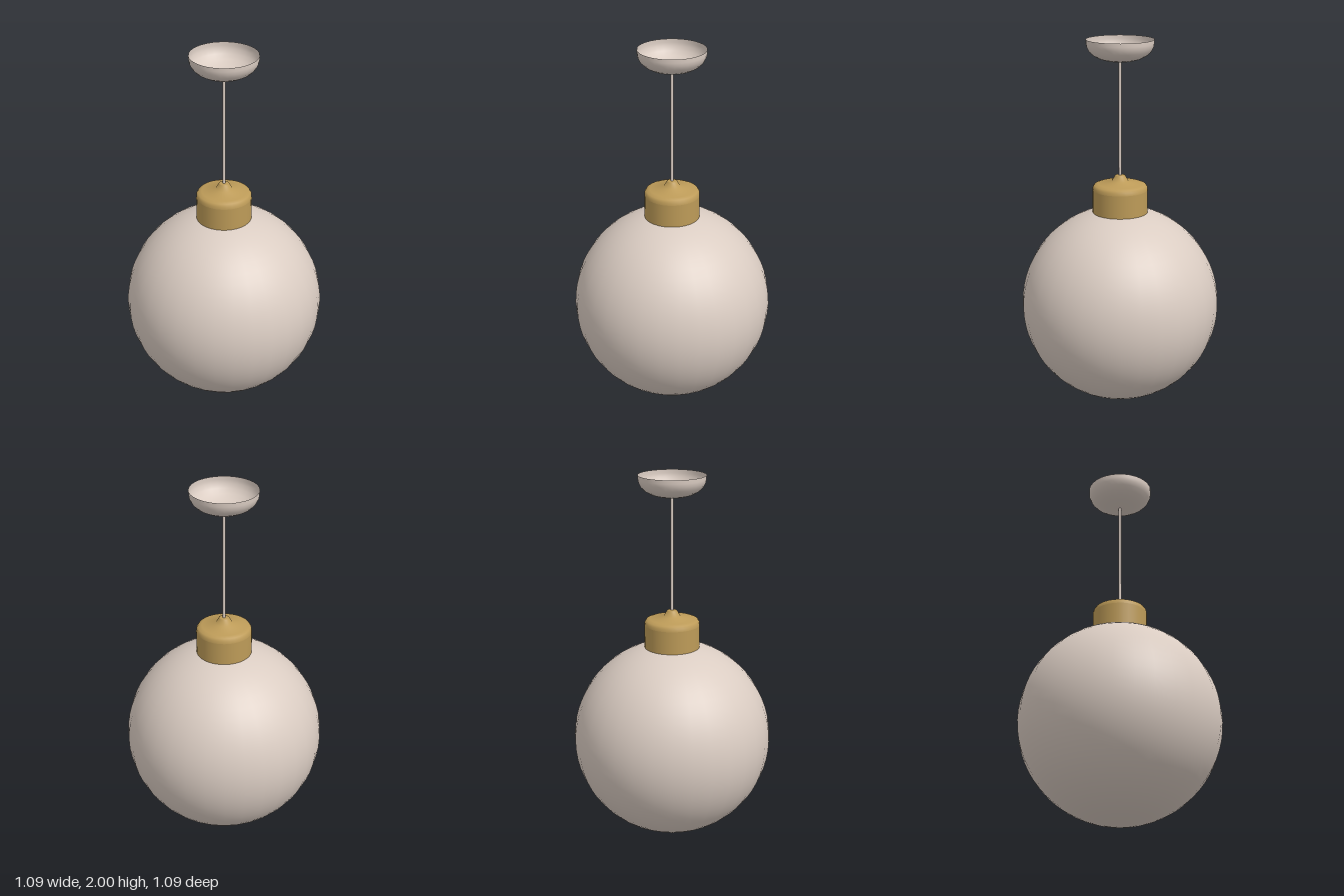
import * as THREE from 'three';

const SEGMENTS = 32;

export function createModel() {
  const lamp = new THREE.Group();
  lamp.name = 'pendantLamp';

  const blush = new THREE.MeshStandardMaterial({ color: 0xdaccc2, side: THREE.DoubleSide });
  blush.name = 'blush';
  const brass = new THREE.MeshStandardMaterial({ color: 0xbd9b58, side: THREE.DoubleSide });
  brass.name = 'brass';

  const add = (name, geometry, material, y = 0) => {
    const mesh = new THREE.Mesh(geometry, material);
    mesh.name = name;
    mesh.position.y = y;
    lamp.add(mesh);
  };
  // Smooth turned part from [radius, height] pairs, bottom to top
  const turned = (points) =>
    new THREE.LatheGeometry(points.map(([r, y]) => new THREE.Vector2(r, y)), SEGMENTS);

  // Globe shade
  add('globe', new THREE.SphereGeometry(0.543, SEGMENTS, 32), blush, 0.543);

  // Brass fitting: straight collar, rounded shoulder, shallow roof and cord grip
  add('collar', turned([[0.15, 1.06], [0.15, 1.19]]), brass);
  add('collarTop', turned([
    [0.15, 1.19], [0.148, 1.205], [0.14, 1.217], [0.12, 1.224],
    [0.045, 1.237], [0.028, 1.268], [0.022, 1.271], [0, 1.271],
  ]), brass);

  // Hanging rod
  add('rod', new THREE.CylinderGeometry(0.008, 0.008, 0.62, 12), blush, 1.575);

  // Ceiling canopy, an open bowl
  add('canopy', turned([
    [0, 1.88], [0.04, 1.883], [0.08, 1.89], [0.115, 1.901], [0.145, 1.918],
    [0.166, 1.939], [0.177, 1.962], [0.18, 1.98], [0.18, 2],
  ]), blush);

  return lamp;
}
